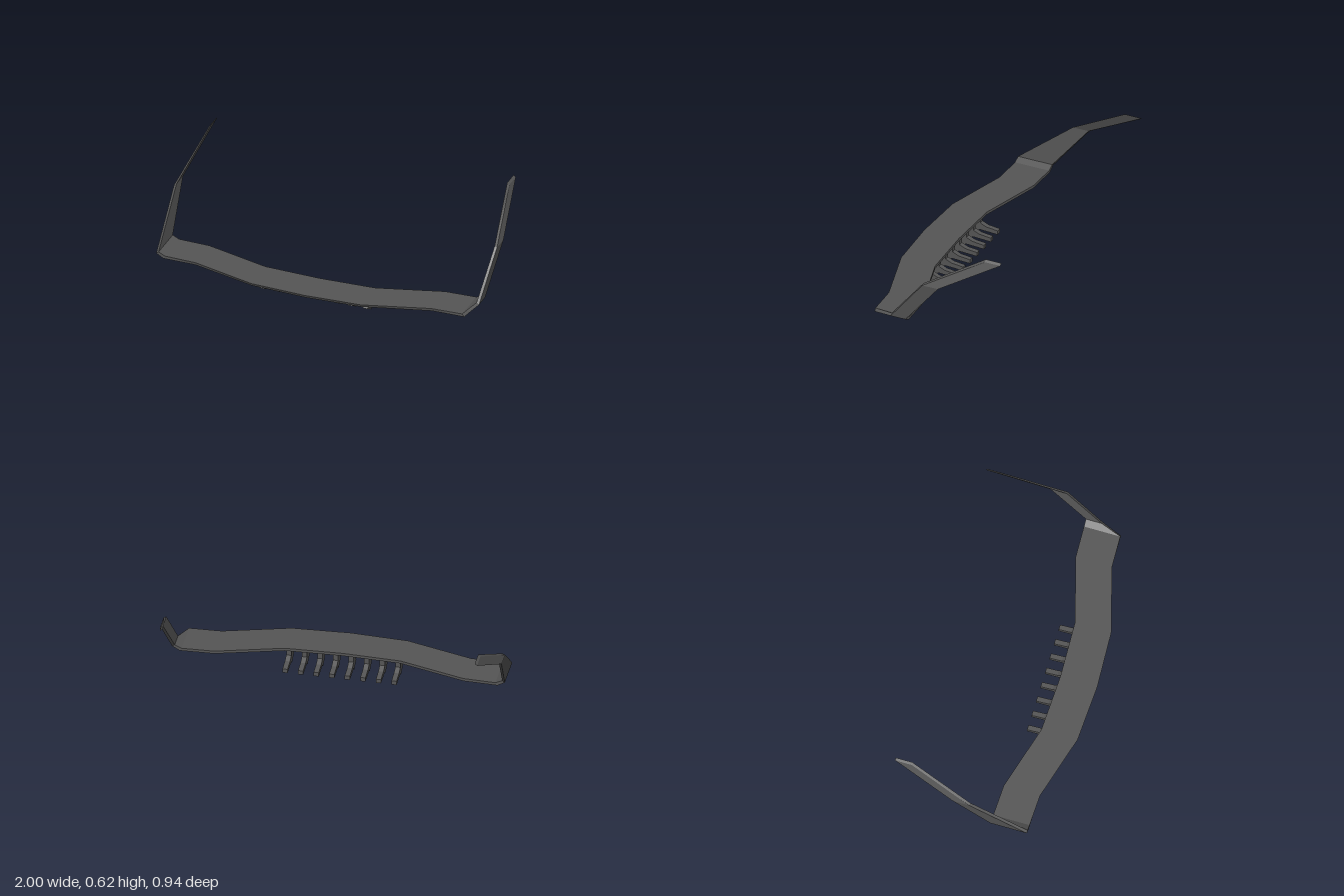
import * as THREE from 'three';

const material = new THREE.MeshStandardMaterial({ color: 0x555555 });

// Lofts four-cornered sections [outerX, outerY, innerX, innerY, frontZ, backZ] into a flat-faced strip
function loft(sections) {
  const rings = sections.map(([xo, yo, xi, yi, zf, zb, lip = 0]) => [
    [xo, yo, zf - lip], [xo, yo, zb], [xi, yi, zb], [xi, yi, zf],
  ]);
  const pos = [];
  const quad = (a, b, c, d) => [a, b, c, a, c, d].forEach((p) => pos.push(...p));
  for (let i = 0; i < rings.length - 1; i++) {
    const r = rings[i], s = rings[i + 1];
    for (let k = 0; k < 4; k++) {
      const n = (k + 1) % 4;
      quad(r[k], r[n], s[n], s[k]);
    }
  }
  const first = rings[0], last = rings[rings.length - 1];
  quad(first[0], first[3], first[2], first[1]);
  quad(last[0], last[1], last[2], last[3]);
  const geometry = new THREE.BufferGeometry();
  geometry.setAttribute('position', new THREE.Float32BufferAttribute(pos, 3));
  geometry.computeVertexNormals();
  return geometry;
}

// Half of the strip, from the centre out; footZ is the front of the arm's foot
function halfStrip(side, footZ) {
  return [
    [0.34, 0.105, 0.34, 0.122, 0.45, 0.232, 0.008],
    [0.73, 0.105, 0.73, 0.122, 0.34, 0.122, 0.004],
    [0.932, 0.105, 0.92, 0.122, 0.333, 0.115],
    [0.975, 0.13, 0.96, 0.141, footZ, 0.115],
    [1.0, 0.4, 0.985, 0.407, -0.005, -0.105],
    [0.93, 0.611, 0.917, 0.623, -0.37, -0.47],
  ].map(([xo, yo, xi, ...rest]) => [side * xo, yo, side * xi, ...rest]);
}

export function createModel() {
  const model = new THREE.Group();
  model.name = 'bentStrip';

  // Front plate with the two raised arms, the +x foot being cut shorter
  const strip = new THREE.Mesh(loft([
    ...halfStrip(-1, 0.333).reverse(),
    [0, 0.105, 0, 0.122, 0.467, 0.245, 0.008],
    ...halfStrip(1, 0.21),
  ]), material);
  strip.name = 'plateAndArms';
  model.add(strip);

  // Hooked teeth below the plate, profile in (z, y)
  const profile = new THREE.Shape([
    [0.325, 0.108], [0.322, 0.05], [0.334, 0.034], [0.275, 0.002], [0.262, 0.018],
    [0.145, 0.012], [0.145, 0.037], [0.218, 0.045], [0.256, 0.062], [0.256, 0.108],
  ].map(([z, y]) => new THREE.Vector2(-z, y)));
  const width = 0.03;
  const toothGeometry = new THREE.ExtrudeGeometry(profile, { depth: width, bevelEnabled: false });
  toothGeometry.translate(0, 0, -width / 2);
  toothGeometry.rotateY(Math.PI / 2);
  const teeth = new THREE.Group();
  teeth.name = 'teeth';
  for (let i = 0; i < 8; i++) {
    const tooth = new THREE.Mesh(toothGeometry, material);
    tooth.name = 'tooth';
    tooth.position.x = (i - 3.5) * 0.0913;
    teeth.add(tooth);
  }
  model.add(teeth);
  return model;
}
